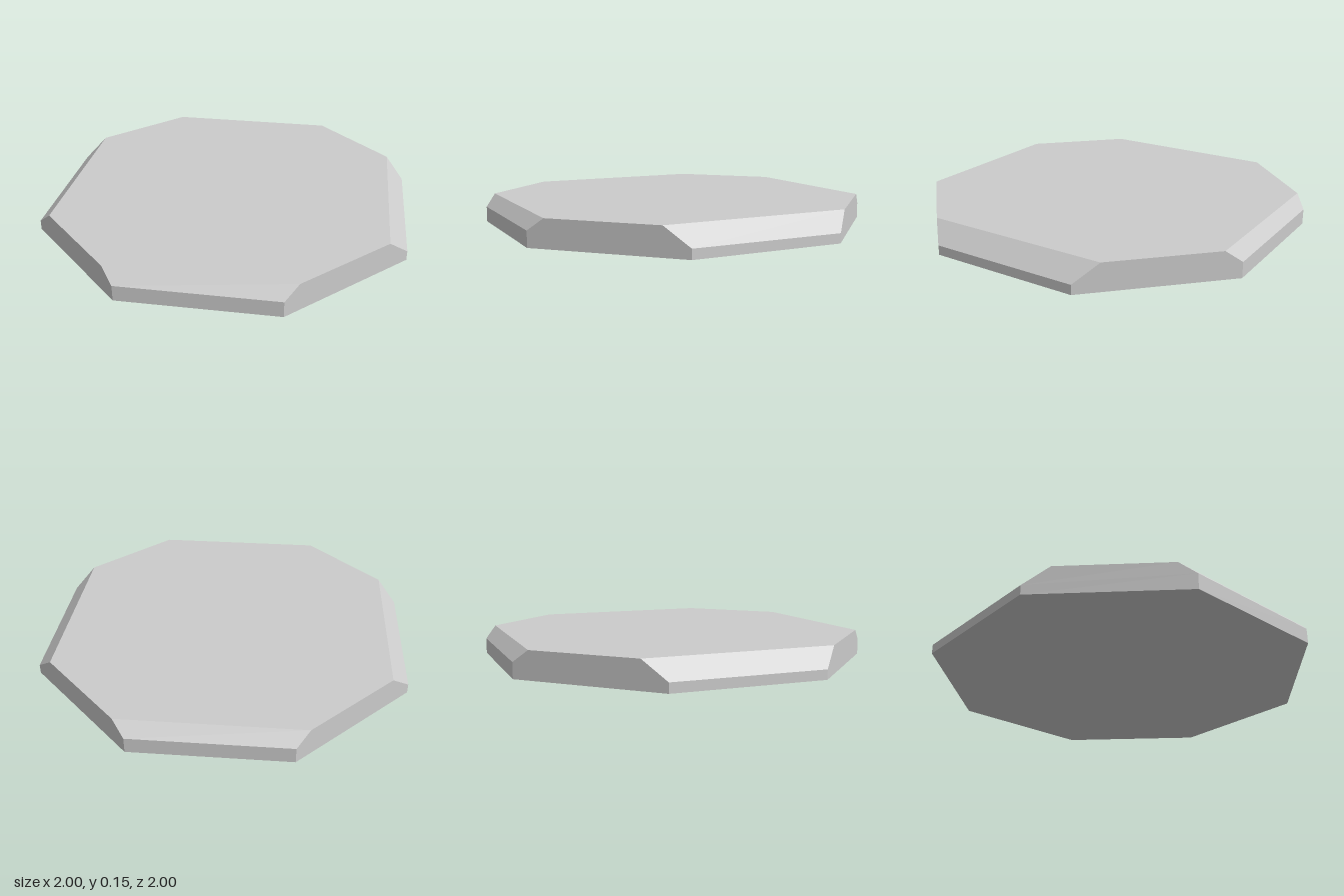
import * as THREE from 'three';

const HEIGHT = 0.15;
const BEVEL_X = 0.098; // 45-degree bevel on the left and right edges
const BEVEL_Z = 0.065; // 45-degree bevel on the front and back edges

// Octagonal slab: three rings of corners, bevelled on the four axis-facing sides
function slabGeometry() {
  const radius = 1 / Math.cos(Math.PI / 8);
  const geo = new THREE.CylinderGeometry(radius, radius, HEIGHT, 8, 2, false, Math.PI / 8);
  geo.translate(0, HEIGHT / 2, 0);
  const pos = geo.attributes.position;
  for (let i = 0; i < pos.count; i++) {
    let x = pos.getX(i), y = pos.getY(i), z = pos.getZ(i);
    if (y < 0.01 || Math.hypot(x, z) < 0.01) continue; // bottom ring and cap centres stay
    const facesX = Math.abs(x) > Math.abs(z);
    const bevel = facesX ? BEVEL_X : BEVEL_Z;
    if (y < HEIGHT - 0.01) {
      y = HEIGHT - bevel; // lower edge of the bevel
    } else {
      // top corners slide along the diagonal sides, which stay flat and upright
      const slide = facesX ? -bevel : bevel;
      x += Math.sign(x) * slide;
      z -= Math.sign(z) * slide;
    }
    pos.setXYZ(i, x, y, z);
  }
  const flat = geo.toNonIndexed();
  flat.computeVertexNormals();
  return flat;
}

export function createModel() {
  const group = new THREE.Group();
  group.name = 'octagonalPlate';
  const material = new THREE.MeshStandardMaterial({ color: 0xcccccc, flatShading: true });
  const slab = new THREE.Mesh(slabGeometry(), material);
  slab.name = 'bevelledSlab';
  group.add(slab);
  return group;
}
